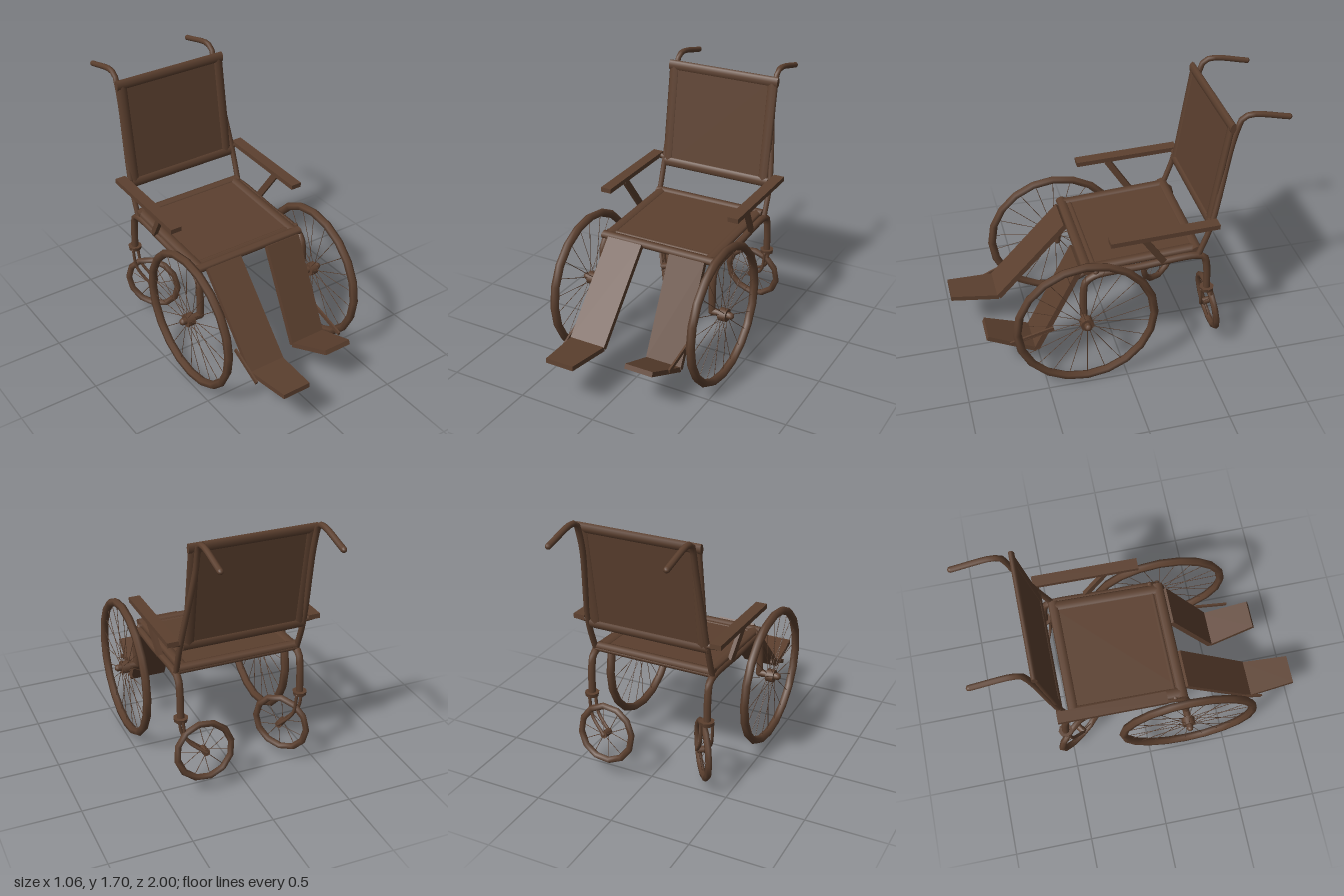
import * as THREE from 'three';

const brown = new THREE.MeshStandardMaterial({ color: 0x5c402f });
brown.name = 'dark brown';

const V = (x, y, z) => new THREE.Vector3(x, y, z);

function add(parent, name, geometry) {
  const mesh = new THREE.Mesh(geometry, brown);
  mesh.name = name;
  parent.add(mesh);
  return mesh;
}

// round bent pipe with rounded ends, through [x, y, z] points
function pipe(parent, name, pts, r) {
  const group = new THREE.Group();
  group.name = name;
  parent.add(group);
  const points = pts.map((p) => V(...p));
  const curve = new THREE.CatmullRomCurve3(points, false, 'centripetal');
  const steps = pts.length > 2 ? pts.length * 4 : 1;
  add(group, name + 'Pipe', new THREE.TubeGeometry(curve, steps, r, 8));
  for (const p of [points[0], points[points.length - 1]]) {
    add(group, name + 'End', new THREE.SphereGeometry(r, 8, 6)).position.copy(p);
  }
  return group;
}

// straight flat board between two points, optionally narrower at the far end
function board(parent, name, a, b, width, thick, taper = 1) {
  const from = V(...a), to = V(...b);
  const geo = new THREE.BoxGeometry(width, thick, from.distanceTo(to));
  const pos = geo.attributes.position;
  for (let i = 0; i < pos.count; i++) {
    if (pos.getZ(i) > 0) pos.setX(i, pos.getX(i) * taper);
  }
  geo.computeVertexNormals();
  const mesh = add(parent, name, geo);
  mesh.position.copy(from).lerp(to, 0.5);
  mesh.lookAt(to);
  return mesh;
}

// upholstered panel framed by rolled edges, lying between two end points
function cushion(parent, name, a, b, width, thick) {
  const from = V(...a), to = V(...b), len = from.distanceTo(to);
  const group = new THREE.Group();
  group.name = name;
  group.position.copy(from).lerp(to, 0.5);
  group.lookAt(to);
  parent.add(group);
  add(group, name + 'Panel', new THREE.BoxGeometry(width - 0.1, thick * 0.4, len - 0.06));
  for (const s of [-1, 1]) {
    const roll = add(group, name + 'EndRoll', new THREE.CylinderGeometry(0.033, 0.033, width, 8));
    roll.rotation.z = Math.PI / 2;
    roll.scale.x = thick / 0.066;
    roll.position.z = s * (len / 2 - 0.033);
    const side = add(group, name + 'SideRoll', new THREE.CylinderGeometry(0.036, 0.036, len - 0.08, 8));
    side.rotation.x = Math.PI / 2;
    side.scale.z = thick / 0.08;
    side.position.x = s * (width / 2 - 0.036);
  }
}

// spoked wheel with its axle along x
function wheel(name, radius, tube, sides, spokes, hubR, hubLen) {
  const group = new THREE.Group();
  group.name = name;
  add(group, name + 'Tyre', new THREE.TorusGeometry(radius - tube, tube, 6, sides)).rotation.y = Math.PI / 2;
  add(group, name + 'Hub', new THREE.CylinderGeometry(hubR, hubR, hubLen, 10)).rotation.z = Math.PI / 2;
  for (let i = 0; i < spokes; i++) {
    const t = (i / spokes) * Math.PI * 2, r = radius - tube;
    const x = (i % 2 ? 0.4 : -0.4) * hubLen;
    const path = new THREE.LineCurve3(V(x, 0, 0), V(0, Math.cos(t) * r, Math.sin(t) * r));
    add(group, name + 'Spoke', new THREE.TubeGeometry(path, 1, 0.002, 4));
  }
  return group;
}

export function createModel() {
  const chair = new THREE.Group();
  chair.name = 'wheelchair';

  // seat and backrest
  cushion(chair, 'seat', [-0.01, 0.775, 0.25], [-0.01, 0.815, -0.49], 0.77, 0.045);
  cushion(chair, 'backrest', [-0.012, 0.965, -0.53], [-0.012, 1.665, -0.637], 0.765, 0.035);

  for (const s of [-1, 1]) {
    const side = new THREE.Group();
    side.name = s > 0 ? 'leftSide' : 'rightSide';
    chair.add(side);

    // bent frame pipe: front upright, seat rail, rear upright
    pipe(side, 'frame', [
      [s * 0.385, 0.46, 0.25], [s * 0.385, 0.62, 0.25], [s * 0.385, 0.71, 0.235],
      [s * 0.385, 0.75, 0.18], [s * 0.385, 0.765, -0.1], [s * 0.385, 0.785, -0.44],
      [s * 0.385, 0.765, -0.5], [s * 0.385, 0.7, -0.52], [s * 0.385, 0.51, -0.53],
    ], 0.023);

    // back post bending into the push handle
    const hx = s * 0.35 - 0.016;
    pipe(side, 'backPost', [
      [s * 0.385, 0.79, -0.465], [s * 0.385, 1.0, -0.535], [hx, 1.5, -0.645],
      [hx, 1.62, -0.675], [hx, 1.67, -0.695], [hx, 1.69, -0.745], [hx, 1.645, -0.978],
    ], 0.018);

    // armrest with its slanted strut
    const ax = s * 0.44 - 0.005;
    board(side, 'armrest', [ax, 1.033, -0.56], [ax, 1.013, 0.1], 0.07, 0.03);
    pipe(side, 'armrestBracket', [[s * 0.385, 1.02, -0.54], [ax, 1.025, -0.54]], 0.018);
    board(side, 'armrestStrut', [s * 0.4, 0.79, -0.24], [s * 0.425, 1.005, -0.1], 0.025, 0.04);

    // large front wheel on a stub axle
    const big = wheel('largeWheel', 0.45, 0.026, 20, 22, 0.042, 0.05);
    big.position.set(s * 0.465, 0.46, 0.25);
    big.rotation.z = s < 0 ? 0.015 : 0;
    side.add(big);
    pipe(side, 'axle', [[s * 0.385, 0.462, 0.25], [s * 0.51, 0.462, 0.25]], 0.022);
  }

  // cross pipes under the seat
  pipe(chair, 'frontCrossPipe', [[-0.385, 0.775, 0.17], [0.385, 0.775, 0.17]], 0.018);
  pipe(chair, 'rearCrossPipe', [[-0.385, 0.8, -0.47], [0.385, 0.8, -0.47]], 0.018);

  // swivelling rear wheels, each turned its own way
  const casters = [
    { name: 'rightCaster', at: [-0.315, 0.26, -0.435], axis: [0.8, 0, -0.6], top: -0.385 },
    { name: 'leftCaster', at: [0.26, 0.3, -0.59], axis: [0, -0.15, 1], top: 0.385 },
  ];
  for (const { name, at, axis, top } of casters) {
    const group = new THREE.Group();
    group.name = name;
    chair.add(group);
    const dir = V(...axis).normalize();
    const rim = wheel(name + 'Wheel', 0.195, 0.021, 12, 10, 0.022, 0.07);
    rim.position.set(...at);
    rim.quaternion.setFromUnitVectors(V(1, 0, 0), dir);
    group.add(rim);
    add(group, 'forkCrown', new THREE.CylinderGeometry(0.045, 0.04, 0.025, 8)).position.set(top, 0.515, -0.53);
    const hub = V(...at);
    for (const s of [-1, 1]) {
      const off = dir.clone().multiplyScalar(s * 0.034);
      const start = V(top, 0.51, -0.53).add(off);
      const bend = V(top, 0.4, -0.53).lerp(hub, 0.2).add(off);
      const end = hub.clone().add(off);
      pipe(group, 'forkLeg', [start.toArray(), bend.toArray(), end.toArray()], 0.01);
    }
  }

  // leg rests at different angles, with tapered footplates and side levers
  const legs = [
    { name: 'rightLegRest', x: -0.215, knee: [0.78, 0.25], heel: [0.295, 0.7], toe: [0.32, 1.0], lever: [0.38, 0.56, 0.28, 0.78] },
    { name: 'leftLegRest', x: 0.217, knee: [0.775, 0.25], heel: [0.195, 0.54], toe: [0.325, 0.835], lever: [0.35, 0.43, 0.28, 0.7] },
  ];
  for (const { name, x, knee, heel, toe, lever } of legs) {
    const group = new THREE.Group();
    group.name = name;
    chair.add(group);
    board(group, 'calfPanel', [x, ...knee], [x, ...heel], 0.238, 0.035);
    board(group, 'footplate', [x, ...heel], [x, ...toe], 0.235, 0.03, 0.78);
    const lx = x + Math.sign(x) * 0.125;
    board(group, 'lever', [lx, lever[0], lever[1]], [lx, lever[2], lever[3]], 0.012, 0.025);
  }

  return chair;
}
